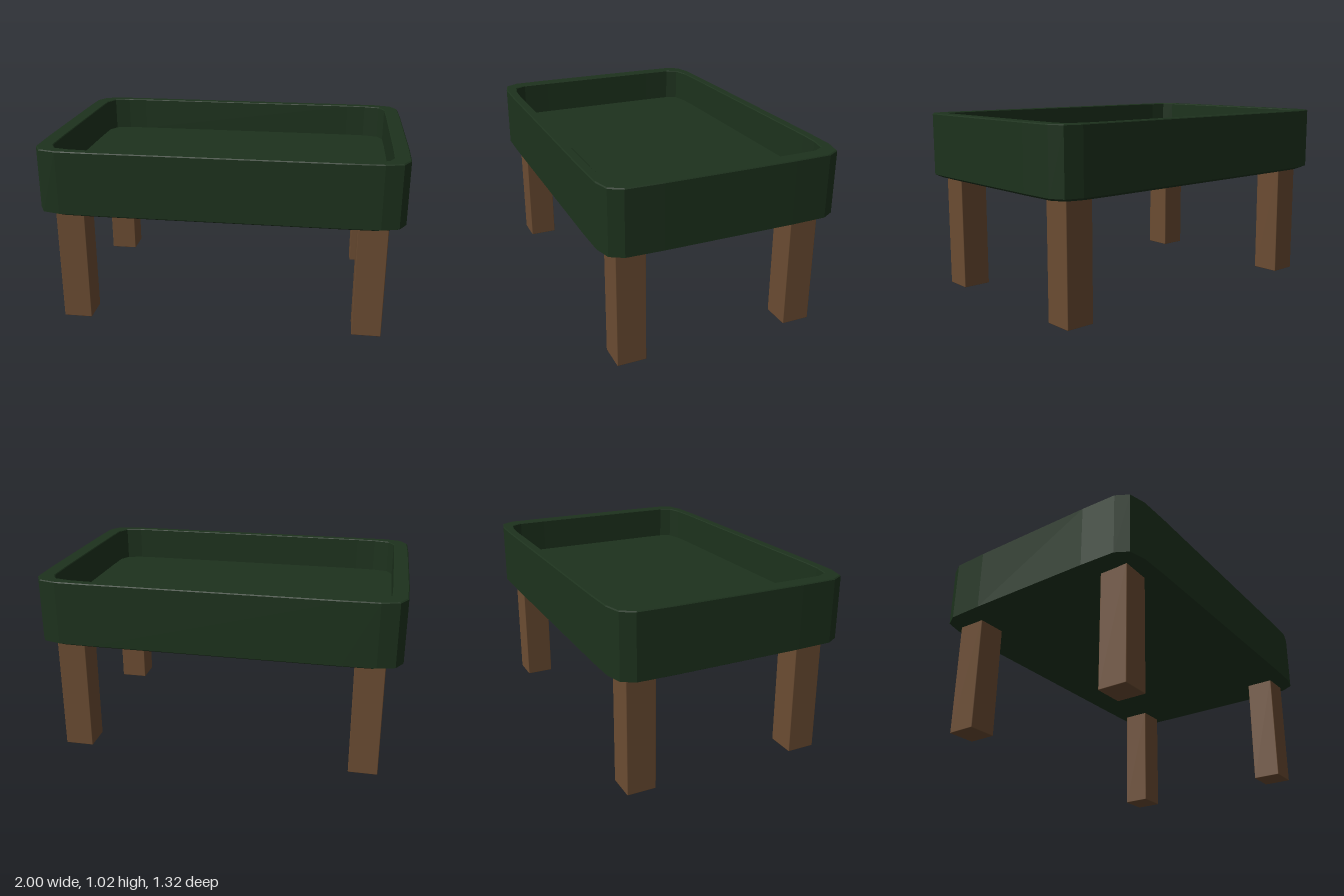
import * as THREE from 'three';
import { RoundedBoxGeometry } from 'three/addons/geometries/RoundedBoxGeometry.js';

// Mirror one quadrant outline (x, z), listed from the +x side to the +z side, into a full loop
function outline(quadrant) {
  const q = quadrant, r = [...quadrant].reverse();
  return [
    ...q,
    ...r.map(([x, z]) => [-x, z]),
    ...q.map(([x, z]) => [-x, -z]),
    ...r.map(([x, z]) => [x, -z]),
  ];
}

// Place an outline at height y, pulled in by inset
function ring(points, y, inset = 0) {
  const hx = Math.max(...points.map((p) => p[0]));
  const hz = Math.max(...points.map((p) => p[1]));
  return points.map(([x, z]) => [x * (1 - inset / hx), y, z * (1 - inset / hz)]);
}

// Skin consecutive rings with outward-facing triangles
function loft(rings) {
  const n = rings[0].length, index = [];
  for (let i = 0; i < rings.length - 1; i++) {
    for (let j = 0; j < n; j++) {
      const k = (j + 1) % n, a = i * n, b = a + n;
      index.push(a + j, b + j, a + k, b + j, b + k, a + k);
    }
  }
  const geometry = new THREE.BufferGeometry();
  geometry.setAttribute('position', new THREE.Float32BufferAttribute(rings.flat(2), 3));
  geometry.setIndex(index);
  const flat = geometry.toNonIndexed();
  flat.computeVertexNormals();
  return flat;
}

export function createModel() {
  const green = new THREE.MeshStandardMaterial({ color: 0x1d321d });
  green.name = 'dark green';
  const brown = new THREE.MeshStandardMaterial({ color: 0x6b4c32 });
  brown.name = 'wood brown';

  const model = new THREE.Group();
  model.name = 'trayTable';

  // Tray: bevelled underside, straight walls, finely bevelled rim and sunken floor
  const outer = outline([[1, 0.36], [0.995, 0.56], [0.955, 0.63], [0.86, 0.655], [0.68, 0.659]]);
  const inner = outline([[0.915, 0.36], [0.912, 0.52], [0.88, 0.582], [0.79, 0.602], [0.68, 0.607]]);
  const centre = (y) => outer.map(() => [0, y, 0]);
  const tray = new THREE.Mesh(loft([
    centre(0.645),
    ring(outer, 0.645, 0.08),
    ring(outer, 0.652, 0.03),
    ring(outer, 0.668),
    ring(outer, 1.015),
    ring(outer, 1.02, 0.005),
    ring(inner, 1.02, -0.004),
    ring(inner, 1.016),
    ring(inner, 0.826),
    centre(0.826),
  ]), green);
  tray.name = 'tray';
  model.add(tray);

  // Four square legs with slightly eased edges
  const legGeometry = new RoundedBoxGeometry(0.162, 0.65, 0.162, 1, 0.004);
  for (const [side, sx] of [['Left', 1], ['Right', -1]]) {
    for (const [end, sz] of [['front', 1], ['back', -1]]) {
      const leg = new THREE.Mesh(legGeometry, brown);
      leg.name = `${end}${side}Leg`;
      leg.position.set(sx * 0.827, 0.325, sz * 0.497);
      model.add(leg);
    }
  }
  return model;
}
